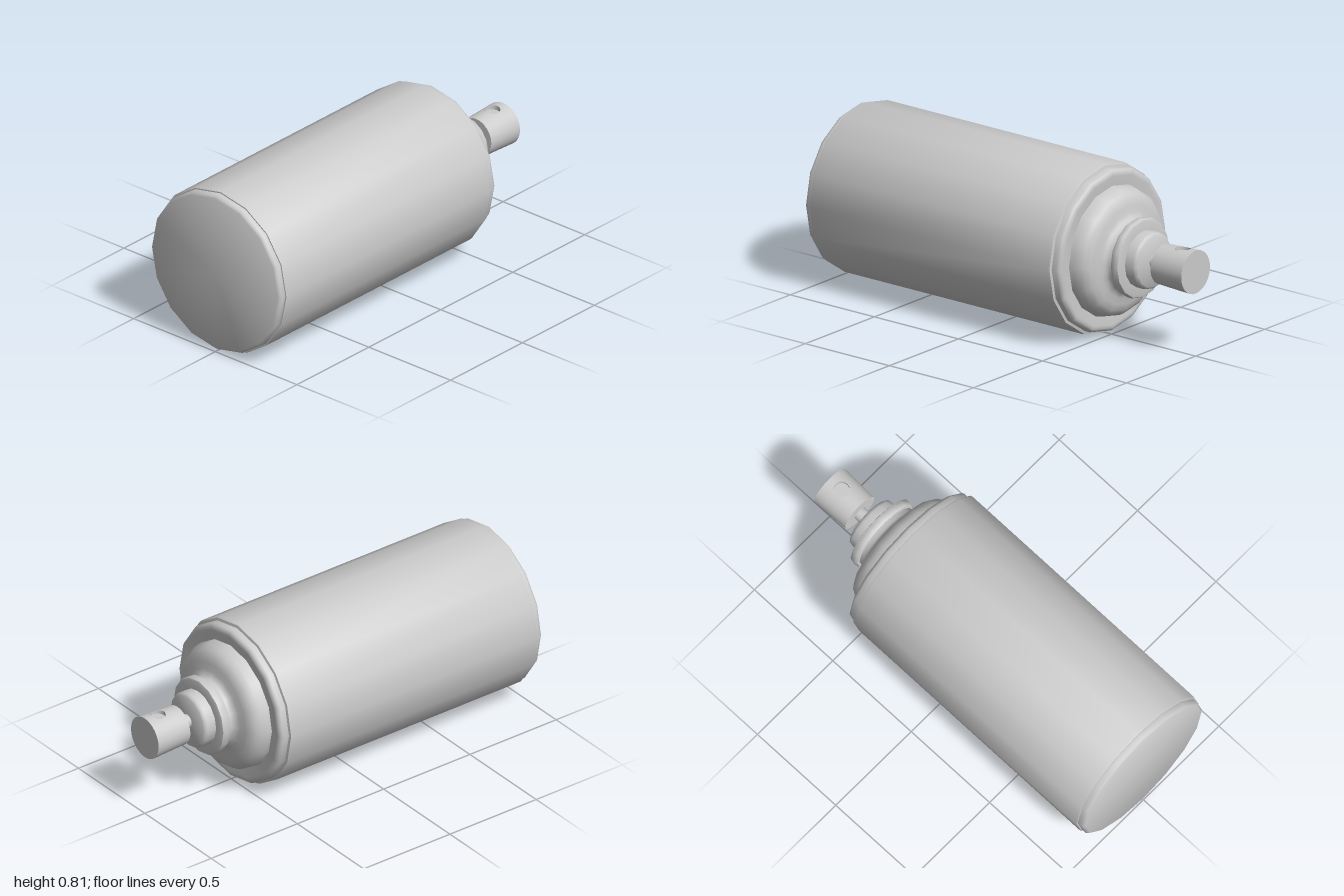
import * as THREE from 'three';
import { toCreasedNormals, mergeVertices } from 'three/addons/utils/BufferGeometryUtils.js';
import { ParametricGeometry } from 'three/addons/geometries/ParametricGeometry.js';

const grey = new THREE.MeshStandardMaterial({ color: 0xcccccc });
const greyDouble = new THREE.MeshStandardMaterial({ color: 0xcccccc, side: THREE.DoubleSide });

function addMesh(parent, name, geometry, material = grey) {
  const mesh = new THREE.Mesh(geometry, material);
  mesh.name = name;
  parent.add(mesh);
  return mesh;
}

// Turned part from [radius, height] pairs, smooth around with sharp profile corners
function turned(parent, name, profile, sides = 16) {
  const points = profile.map(([r, h]) => new THREE.Vector2(r, h));
  return addMesh(parent, name, toCreasedNormals(new THREE.LatheGeometry(points, sides), 0.75));
}

// Push-button nozzle: slightly flared cylinder with a round recess in its side
function createNozzle() {
  const nozzle = new THREE.Group();
  nozzle.name = 'nozzle';
  const middle = 0.905, half = 0.095, holeR = 0.037, holeT = 0.925, arc = 0.95;
  const radiusAt = (t) => 0.1 + 0.004 * (t - middle) / half;
  // angle 0 points along local +z, which becomes up once the can lies down
  const onWall = (angle, t, target) => {
    const r = radiusAt(t);
    return target.set(Math.sin(angle) * r, t, Math.cos(angle) * r);
  };
  const holeEdge = (a) => [Math.asin(holeR * Math.cos(a) / radiusAt(holeT)), holeT + holeR * Math.sin(a)];

  // plain wall around the rest of the nozzle, and both end caps
  const wall = new THREE.CylinderGeometry(radiusAt(1), radiusAt(0.81), half * 2, 24, 1, true, arc, Math.PI * 2 - arc * 2);
  wall.translate(0, middle, 0);
  addMesh(nozzle, 'nozzleWall', wall);
  for (const side of [-1, 1]) {
    const t = middle + side * half;
    const cap = new THREE.CircleGeometry(radiusAt(t), 32);
    cap.rotateX(-side * Math.PI / 2).translate(0, t, 0);
    addMesh(nozzle, 'nozzleCap', cap);
  }

  // wall panel with the round opening
  const panel = new ParametricGeometry((u, v, target) => {
    const a = u * Math.PI * 2, c = Math.cos(a), s = Math.sin(a);
    const k = 1 / Math.max(Math.abs(c), Math.abs(s));
    const [a0, t0] = holeEdge(a);
    onWall(a0 + (c * k * arc - a0) * v, t0 + (middle + s * k * half - t0) * v, target);
  }, 40, 8);
  addMesh(nozzle, 'nozzlePanel', panel, greyDouble);

  // recess sides and floor
  const floor = 0.08;
  const recess = new ParametricGeometry((u, v, target) => {
    const [a0, t0] = holeEdge(u * Math.PI * 2);
    onWall(a0, t0, target);
    target.z += (floor - target.z) * v;
  }, 40, 1);
  addMesh(nozzle, 'sprayHoleSide', recess, greyDouble);
  addMesh(nozzle, 'sprayHoleFloor', new THREE.CircleGeometry(holeR, 40).translate(0, holeT, floor));
  return nozzle;
}

export function createModel() {
  const model = new THREE.Group();
  model.name = 'sprayCan';
  const can = new THREE.Group();
  can.name = 'can';
  model.add(can);

  turned(can, 'baseRim', [
    [0, -1], [0.383, -1], [0.392, -0.995], [0.398, -0.985], [0.398, -0.963],
  ]);
  turned(can, 'body', [
    [0.396, -0.964], [0.404, -0.964], [0.407, -0.958], [0.407, 0.452], [0.404, 0.462], [0.388, 0.466],
  ]);
  turned(can, 'topRim', [
    [0.391, 0.462], [0.391, 0.492], [0.386, 0.502], [0.375, 0.509], [0.36, 0.509], [0.3, 0.502],
  ]);
  turned(can, 'shoulder', [
    [0.313, 0.5], [0.311, 0.52], [0.304, 0.548], [0.29, 0.573], [0.268, 0.59], [0.238, 0.599],
    [0.205, 0.604], [0.184, 0.612], [0.174, 0.626], [0.172, 0.65],
  ]);
  turned(can, 'collar', [
    [0.165, 0.645], [0.185, 0.647], [0.191, 0.655], [0.191, 0.68], [0.187, 0.688], [0.178, 0.691], [0.12, 0.691],
  ]);
  turned(can, 'valveCup', [
    [0.136, 0.688], [0.136, 0.735], [0.132, 0.747], [0.122, 0.754], [0, 0.754],
  ]);
  turned(can, 'stem', [[0.034, 0.75], [0.034, 0.815]]);
  can.add(createNozzle());

  // lay the can on its side, nozzle to the back
  can.rotation.x = -Math.PI / 2;
  can.position.y = 0.407;
  return model;
}
